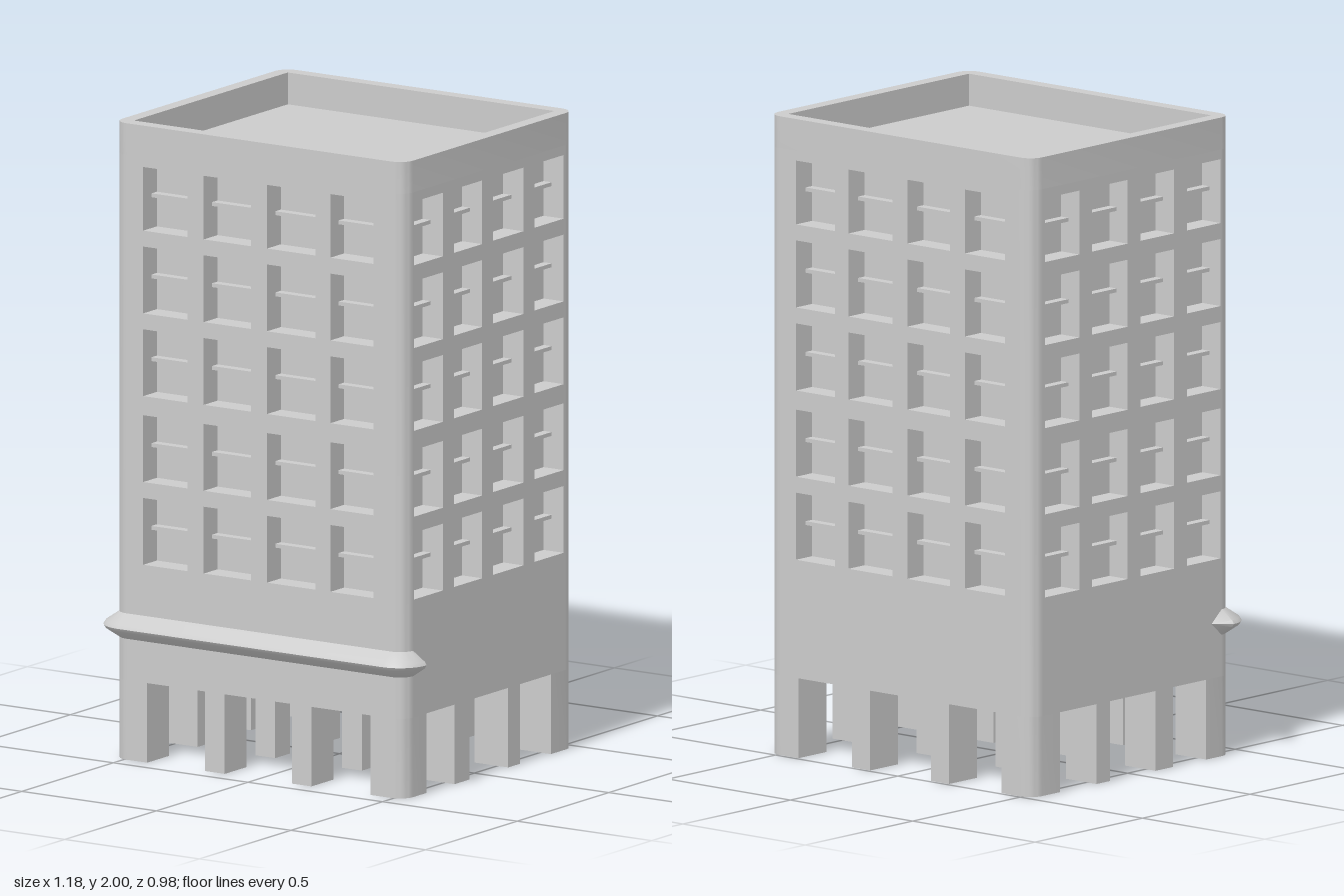
import * as THREE from 'three';
import { toCreasedNormals } from 'three/addons/utils/BufferGeometryUtils.js';

const material = new THREE.MeshStandardMaterial({ color: 0xcccccc });
const HALF = 0.54, FRONT = 0.44, BACK = -0.49;   // outer faces of the tower
const BASE = 0.25, ROOF = 1.9, TOP = 2;          // storey levels
const DEPTH = 0.075, R = 0.048;                  // window recess, corner radius
const V = (x, y) => new THREE.Vector2(x, y);

function add(parent, name, geometry) {
  const mesh = new THREE.Mesh(geometry, material);
  mesh.name = name;
  parent.add(mesh);
  return mesh;
}

function box(parent, name, x0, x1, y0, y1, z0, z1) {
  add(parent, name, new THREE.BoxGeometry(x1 - x0, y1 - y0, z1 - z0))
    .position.set((x0 + x1) / 2, (y0 + y1) / 2, (z0 + z1) / 2);
}

// Closed rectangular path, usable as a hole
function rect(x0, x1, y0, y1) {
  return new THREE.Path([V(x0, y0), V(x1, y0), V(x1, y1), V(x0, y1), V(x0, y0)]);
}

// Raise a plan outline (x, -z) from y0 to y1
function raise(shape, y0, y1) {
  const g = new THREE.ExtrudeGeometry(shape, { depth: y1 - y0, bevelEnabled: false });
  g.rotateX(-Math.PI / 2).translate(0, y0, 0);
  return toCreasedNormals(g, 0.6);
}

// Quarter-round points at the outer corner (sx, sz), from the z face to the x face
function cornerArc(sx, sz, steps = 8) {
  const cz = sz > 0 ? FRONT - R : BACK + R;
  return Array.from({ length: steps + 1 }, (_, i) => {
    const a = (1 - i / steps) * Math.PI / 2;
    return V(sx * (HALF - R + R * Math.cos(a)), -(cz + sz * R * Math.sin(a)));
  });
}

// Block with one rounded outer corner
function cornerBlock(parent, name, sx, sz, wx, wz, y0, y1) {
  const xi = sx * (HALF - wx), oz = sz > 0 ? FRONT : BACK, zi = oz - sz * wz;
  const pts = [V(xi, -zi), V(xi, -oz), ...cornerArc(sx, sz), V(sx * HALF, -zi)];
  add(parent, name, raise(new THREE.Shape(pts), y0, y1));
}

const rows = [[0.62, 0.83], [0.88, 1.09], [1.15, 1.36], [1.41, 1.62], [1.67, 1.87]];
const colsX = [[-0.43, -0.265], [-0.205, -0.03], [0.03, 0.21], [0.265, 0.425]];
const colsZ = [[-0.43, -0.27], [-0.21, -0.045], [0.015, 0.17], [0.23, 0.387]];
const flip = spans => spans.map(([a, b]) => [-b, -a]);

// Wall panel pierced by windows, with a crossbar in each opening
function wall(parent, name, u0, u1, cols, angle, x, z) {
  const g = new THREE.Group();
  g.name = name;
  const shape = new THREE.Shape([V(u0, BASE), V(u1, BASE), V(u1, ROOF), V(u0, ROOF)]);
  for (const [y0, y1] of rows) for (const [a, b] of cols) {
    shape.holes.push(rect(a, b, y0, y1));
    const m = (y0 + y1) / 2 + 0.003;
    box(g, 'windowBar', a, b, m - 0.006, m + 0.006, 0, 0.03);
  }
  add(g, 'wallPanel', new THREE.ExtrudeGeometry(shape, { depth: DEPTH, bevelEnabled: false }));
  g.rotation.y = angle;
  g.position.set(x, 0, z);
  parent.add(g);
}

// Moulding wrapped round the front, tapering to a point on each side
function ledge() {
  const profile = [[0, 0.46], [0.043, 0.431], [0.05, 0.42], [0.043, 0.409], [0, 0.38]];
  const pos = [], index = [], n = profile.length, steps = 8;
  let rings = 0;
  for (const sx of [-1, 1]) {
    for (let i = 0; i <= steps; i++) {
      const t = (sx < 0 ? 1 - i / steps / 2 : 0.5 - i / steps / 2) * Math.PI;
      for (const [d, y] of profile) {
        pos.push(sx * (HALF - R) + (R + d) * Math.cos(t), y, FRONT - R + (R + d) * Math.sin(t));
      }
      rings++;
    }
  }
  for (let i = 0; i < rings - 1; i++) for (let j = 0; j < n - 1; j++) {
    const a = i * n + j, d = a + n;
    index.push(a, a + 1, d + 1, a, d + 1, d);
  }
  const tip = rings * n, last = tip - n;
  pos.push(-HALF, 0.42, 0.345, HALF, 0.42, 0.345);
  for (let j = 0; j < n - 1; j++) {
    index.push(tip, j + 1, j, last + j, last + j + 1, tip + 1);
  }
  const g = new THREE.BufferGeometry();
  g.setAttribute('position', new THREE.Float32BufferAttribute(pos, 3));
  g.setIndex(index);
  return toCreasedNormals(g, 0.7);
}

export function createModel() {
  const model = new THREE.Group();
  model.name = 'towerBlock';

  // Solid core: window backs, roof deck and underside
  box(model, 'core', -HALF + DEPTH, HALF - DEPTH, BASE, ROOF, BACK + DEPTH, FRONT - DEPTH);

  // Four walls
  const w = HALF - DEPTH, q = Math.PI / 2, zf = FRONT - 0.05, zb = BACK + 0.05;
  wall(model, 'frontWall', -w, w, colsX, 0, 0, FRONT - DEPTH);
  wall(model, 'backWall', -w, w, flip(colsX), Math.PI, 0, BACK + DEPTH);
  wall(model, 'leftWall', -zf, -zb, flip(colsZ), q, w, 0);
  wall(model, 'rightWall', zb, zf, colsZ, -q, -w, 0);

  // Rounded corners and corner pillars
  for (const sx of [-1, 1]) for (const sz of [-1, 1]) {
    cornerBlock(model, 'cornerPost', sx, sz, DEPTH, 0.05, BASE, ROOF);
    cornerBlock(model, 'cornerPillar', sx, sz, 0.125, sz > 0 ? 0.12 : 0.13, 0, BASE);
  }

  // Remaining pillars of the four by four grid
  const px = [[-HALF, -0.415], [-0.2, -0.127], [0.122, 0.195], [0.415, HALF]];
  const pz = [[BACK, -0.36], [-0.19, -0.127], [0.085, 0.165], [0.32, FRONT]];
  px.forEach(([x0, x1], i) => pz.forEach(([z0, z1], j) => {
    if (i % 3 || j % 3) box(model, 'pillar', x0, x1, 0, BASE, z0, z1);
  }));

  // Parapet round the roof
  const rim = new THREE.Shape([
    ...cornerArc(1, 1), ...cornerArc(1, -1).reverse(),
    ...cornerArc(-1, -1), ...cornerArc(-1, 1).reverse(),
  ]);
  rim.holes.push(rect(-0.495, 0.495, -0.395, 0.445));
  add(model, 'parapet', raise(rim, ROOF, TOP));

  add(model, 'frontLedge', ledge());
  return model;
}
